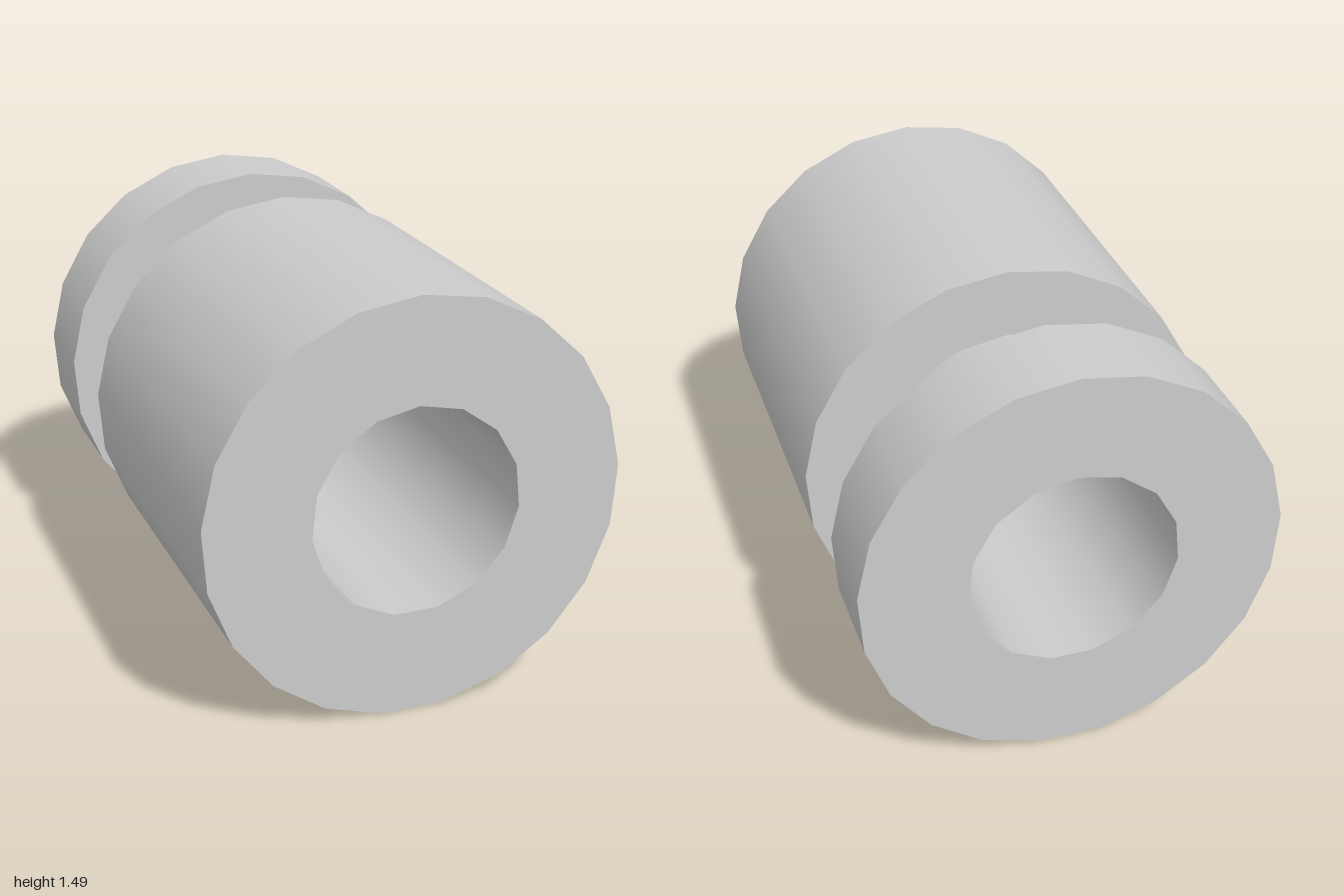
import * as THREE from 'three';

const AXIS_Y = 0.742; // height of the axis
const OUTER = { r: 0.75, sides: 21 };
const NECK = { r: 0.5, sides: 17 };
const BORE = { r: 0.375, sides: 15 };
const FRONT = 1, GROOVE_FRONT = -0.275, GROOVE_BACK = -0.653, BACK = -1;

// Smooth wall along z; it faces outward when z0 < z1 and inward when z0 > z1
function wall({ r, sides }, z0, z1) {
  const profile = [new THREE.Vector2(r, z0), new THREE.Vector2(r, z1)];
  return new THREE.LatheGeometry(profile, sides, Math.PI).rotateX(Math.PI / 2);
}

// Corner points of a regular polygon with one corner at the top
function polygon({ r, sides }) {
  return Array.from({ length: sides }, (_, i) => {
    const a = Math.PI / 2 + (i / sides) * Math.PI * 2;
    return new THREE.Vector2(r * Math.cos(a), r * Math.sin(a));
  });
}

// Flat ring at z, facing the front or the back
function ringFace(outer, inner, z, facesFront) {
  const shape = new THREE.Shape(polygon(outer));
  shape.holes.push(new THREE.Path(polygon(inner)));
  const geometry = new THREE.ShapeGeometry(shape);
  if (!facesFront) geometry.rotateY(Math.PI);
  return geometry.translate(0, 0, z);
}

export function createModel() {
  const model = new THREE.Group();
  model.name = 'groovedBushing';
  const grey = new THREE.MeshStandardMaterial({ name: 'grey', color: 0xcccccc });

  const add = (name, geometry) => {
    const mesh = new THREE.Mesh(geometry, grey);
    mesh.name = name;
    mesh.position.y = AXIS_Y;
    model.add(mesh);
  };

  // Long front sleeve
  add('sleeveWall', wall(OUTER, GROOVE_FRONT, FRONT));
  add('sleeveFrontFace', ringFace(OUTER, BORE, FRONT, true));
  add('sleeveShoulder', ringFace(OUTER, NECK, GROOVE_FRONT, false));

  // Narrow neck at the bottom of the groove
  add('neckWall', wall(NECK, GROOVE_BACK, GROOVE_FRONT));

  // Short rear collar
  add('collarWall', wall(OUTER, BACK, GROOVE_BACK));
  add('collarShoulder', ringFace(OUTER, NECK, GROOVE_BACK, true));
  add('collarBackFace', ringFace(OUTER, BORE, BACK, false));

  // Through bore
  add('bore', wall(BORE, FRONT, BACK));

  return model;
}
